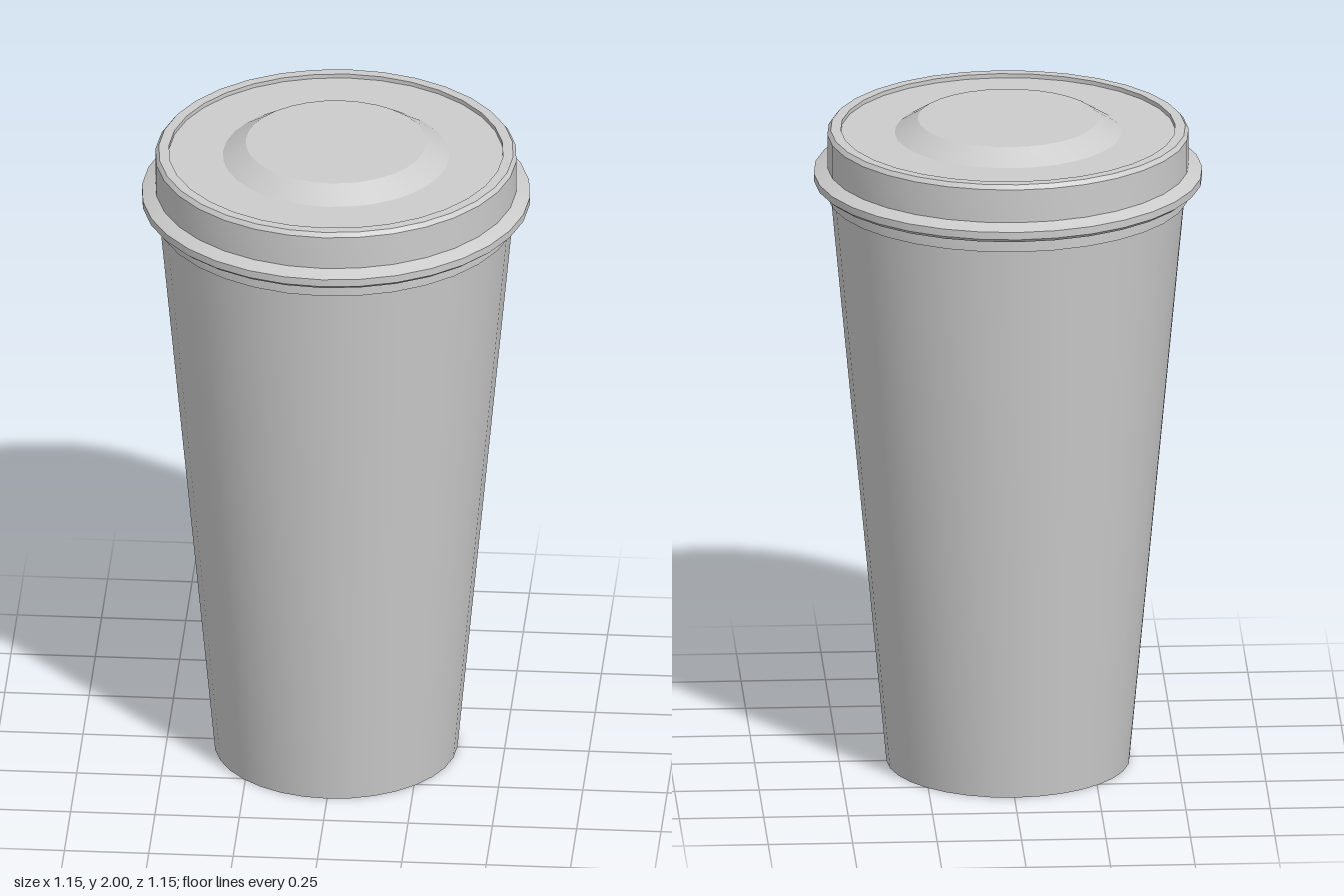
import * as THREE from 'three';
import { toCreasedNormals } from 'three/addons/utils/BufferGeometryUtils.js';

const SIDES = 32;
const material = new THREE.MeshStandardMaterial({ color: 0xcccccc });

// Revolve a profile of [radius, height] points, smooth around and sharp at folds
function turned(name, profile) {
  const points = profile.map(([r, y]) => new THREE.Vector2(r, y));
  const geometry = toCreasedNormals(new THREE.LatheGeometry(points, SIDES), 0.4);
  const mesh = new THREE.Mesh(geometry, material);
  mesh.name = name;
  return mesh;
}

export function createModel() {
  const group = new THREE.Group();
  group.name = 'takeawayCup';

  // Tapered cup with a recessed base and a thin foot rim
  group.add(turned('cup', [
    [0, 0.1], [0.352, 0.1], [0.345, 0], [0.36, 0], [0.525, 1.77],
  ]));

  // Lid: skirt, flared flange, upright wall, raised rim, sunken top, low dome
  group.add(turned('lid', [
    [0.515, 1.763], [0.535, 1.763],
    [0.535, 1.8], [0.56, 1.803], [0.575, 1.815],
    [0.575, 1.838], [0.535, 1.855],
    [0.535, 1.957], [0.525, 1.97],
    [0.495, 1.97], [0.495, 1.957],
    [0.335, 1.957], [0.267, 2], [0, 2],
  ]));

  return group;
}
